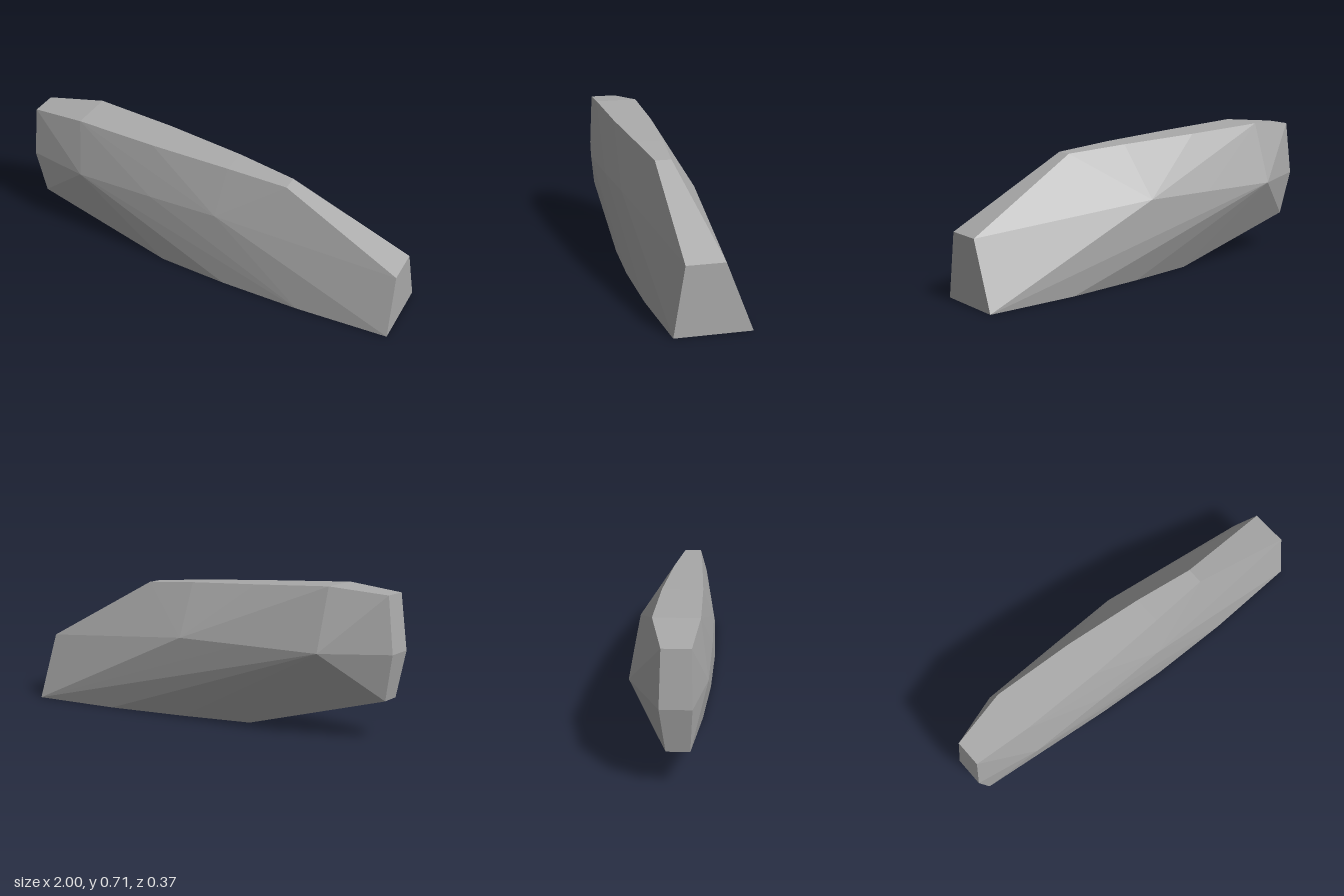
import * as THREE from 'three';
import { ConvexGeometry } from 'three/addons/geometries/ConvexGeometry.js';

export function createModel() {
  const group = new THREE.Group();
  group.name = 'rock';
  const stone = new THREE.MeshStandardMaterial({ color: 0xaaaaaa });
  stone.name = 'grey stone';

  // Each row pairs a front and a back corner: [x, y, front z, back z]
  const topRidge = [
    [-0.97, 0.685, 0.105, -0.027],
    [-0.69, 0.712, 0.136, -0.08],
    [-0.28, 0.69, 0.136, -0.058],
    [0.12, 0.668, 0.122, -0.016],
    [0.42, 0.645, 0.107, 0.027],
    [1, 0.325, 0.127, -0.057],
  ];
  const waist = [
    [-1, 0.415, 0.11, -0.035],
    [-0.69, 0.412, 0.172, -0.186],
    [-0.28, 0.413, 0.183, -0.187],
    [0.08, 0.413, 0.184, -0.187],
  ];
  const base = [
    [-0.955, 0.19, 0.1, -0.008],
    [-0.24, 0, 0.14, -0.045],
    [0.12, 0, 0.172, -0.11],
    [0.53, 0, 0.187, -0.165],
    [1, 0, 0.18, -0.186],
  ];

  // Faceted boulder wrapped around all the corners
  const corners = [...topRidge, ...waist, ...base].flatMap(([x, y, front, back]) => [
    new THREE.Vector3(x, y, front),
    new THREE.Vector3(x, y, back),
  ]);
  const boulder = new THREE.Mesh(new ConvexGeometry(corners), stone);
  boulder.name = 'boulder';
  group.add(boulder);
  return group;
}
